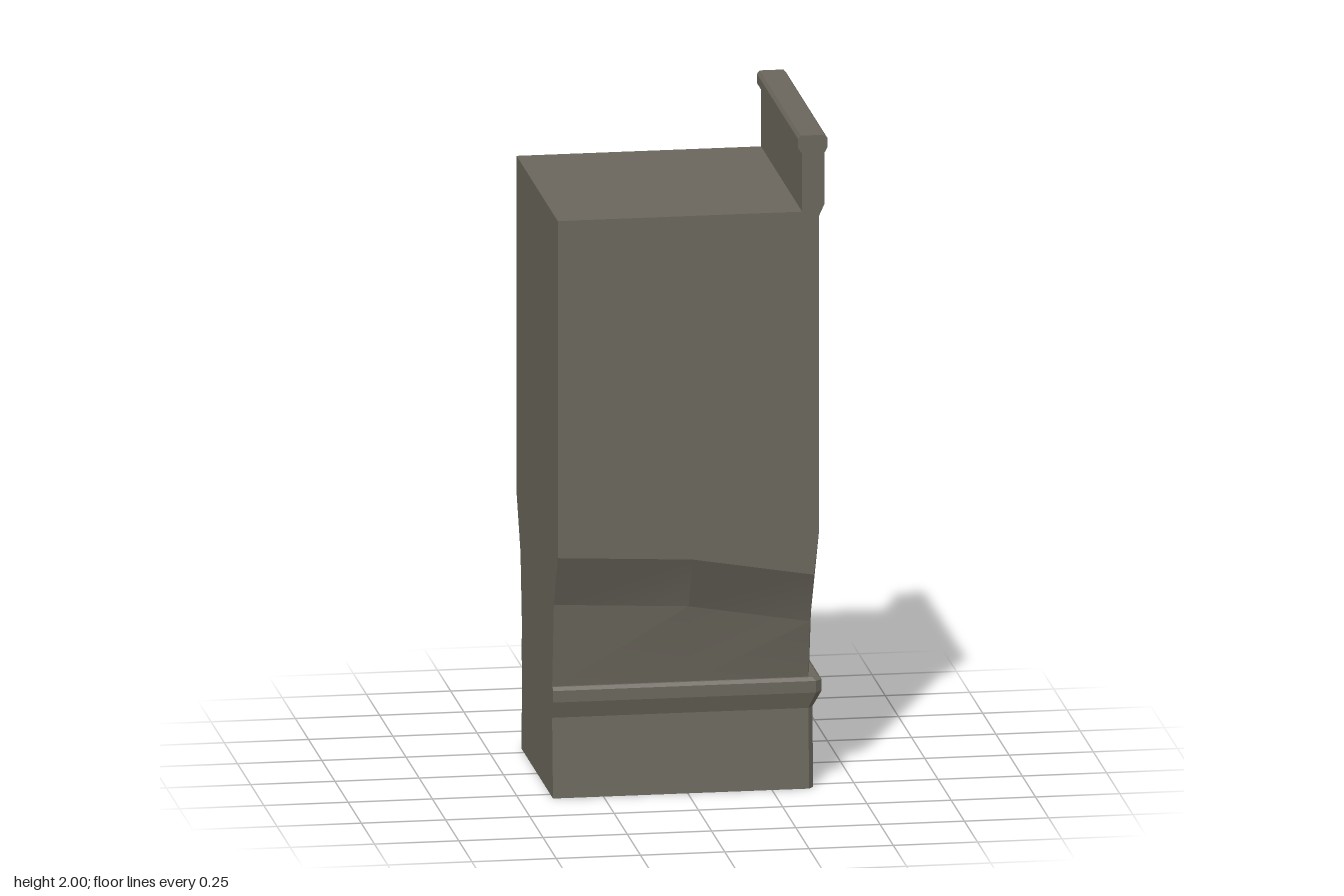
import * as THREE from 'three';
import { toCreasedNormals } from 'three/addons/utils/BufferGeometryUtils.js';

// Closed solid through levels of [x, y, z] half-outlines, mirrored in z.
function loft(levels) {
  const rings = levels.map(half => [
    ...half, ...half.slice().reverse().map(([x, y, z]) => [x, y, -z])]);
  const n = rings[0].length;
  const index = [];
  for (let l = 0; l < rings.length - 1; l++) {
    for (let i = 0; i < n; i++) {
      const a = l * n + i, b = l * n + (i + 1) % n;
      index.push(a, b, b + n, a, b + n, a + n);
    }
  }
  const top = (rings.length - 1) * n;
  for (let i = 1; i < n - 1; i++) {
    index.push(0, i + 1, i, top, top + i, top + i + 1);
  }
  const geometry = new THREE.BufferGeometry();
  geometry.setAttribute('position', new THREE.Float32BufferAttribute(rings.flat(2), 3));
  geometry.setIndex(index);
  return toCreasedNormals(geometry, 0.3);
}

export function createModel() {
  const group = new THREE.Group();
  group.name = 'wallPillar';
  const stone = new THREE.MeshStandardMaterial({ color: 0x6a665c });
  stone.name = 'stone';
  const add = (name, geometry) => {
    const mesh = new THREE.Mesh(geometry, stone);
    mesh.name = name;
    group.add(mesh);
    return mesh;
  };

  // Plinth and collar: [y, side z, chamfer x, outer x, chamfer z]
  const plinth = [
    [0, 0.3, 0.36, 0.375, 0.28],
    [0.24, 0.283, 0.36, 0.375, 0.265],
    [0.29, 0.3, 0.38, 0.4, 0.28],
    [0.325, 0.3, 0.38, 0.4, 0.28],
    [0.335, 0.292, 0.37, 0.39, 0.272],
  ];
  add('plinth', loft(plinth.map(([y, z, cx, x, cz]) =>
    [[-0.4, y, z], [cx, y, z], [x, y, cz]])));

  // Flared body with a sloping shoulder and bevelled outer corners
  add('body', loft([
    [[-0.4, 0.33, 0.283], [0, 0.33, 0.283], [0.36, 0.33, 0.283], [0.375, 0.33, 0.2]],
    [[-0.4, 0.59, 0.316], [0, 0.57, 0.316], [0.36, 0.51, 0.315], [0.375, 0.58, 0.25]],
    [[-0.4, 0.75, 0.39], [0, 0.73, 0.39], [0.36, 0.67, 0.39], [0.375, 0.8, 0.39]],
    [[-0.4, 1.77, 0.39], [0, 1.77, 0.39], [0.36, 1.77, 0.39], [0.375, 1.77, 0.39]],
  ]));

  // Parapet with a capped rim, extruded along z
  const profile = new THREE.Shape([
    [0.325, 1.755], [0.375, 1.755], [0.391, 1.79], [0.391, 1.945], [0.4, 1.962],
    [0.4, 1.99], [0.392, 2], [0.321, 2], [0.313, 1.99], [0.313, 1.962], [0.325, 1.945],
  ].map(([x, y]) => new THREE.Vector2(x, y)));
  const parapet = add('parapet',
    new THREE.ExtrudeGeometry(profile, { depth: 0.78, bevelEnabled: false }));
  parapet.position.z = -0.39;

  return group;
}
